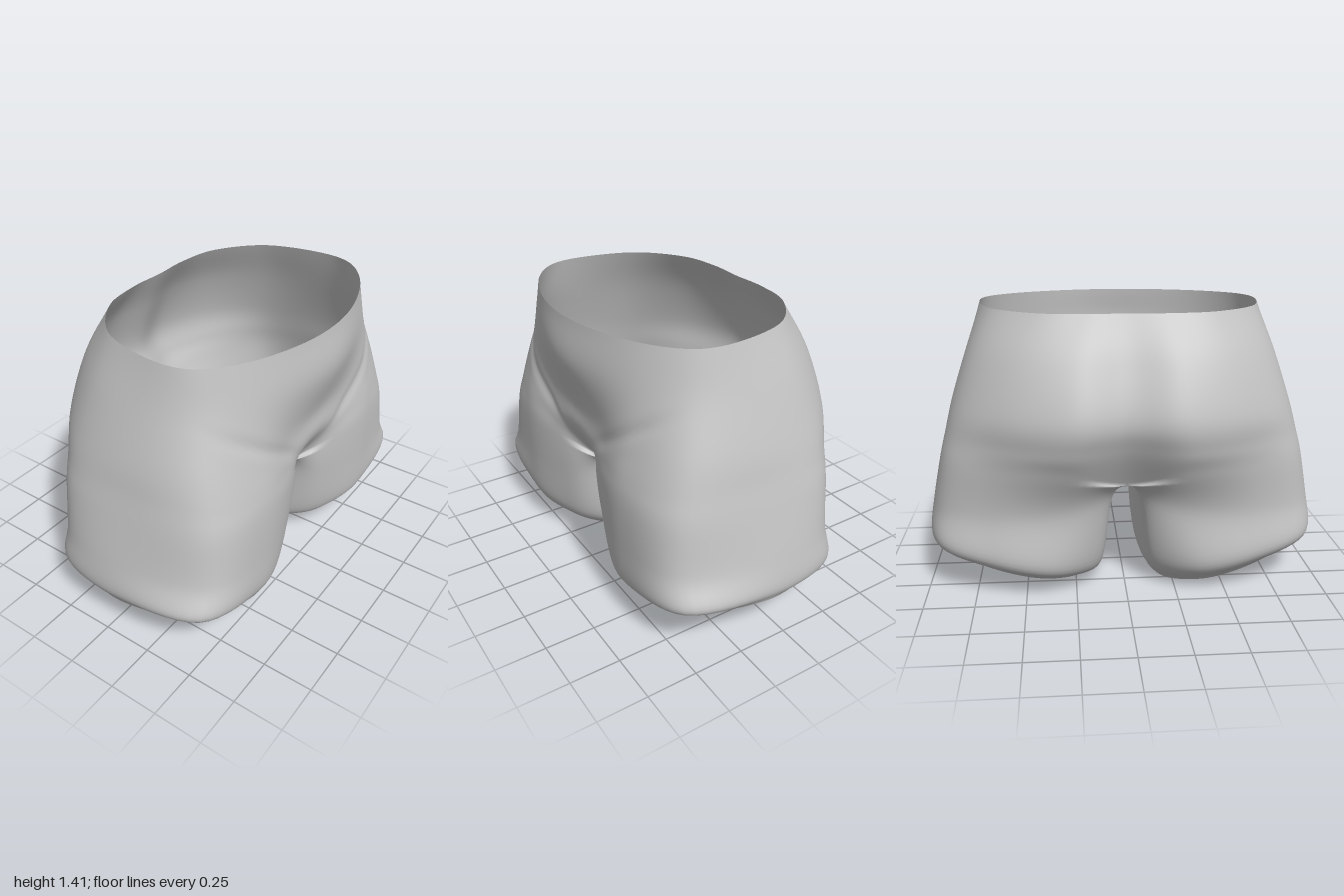
import * as THREE from 'three';
import { mergeVertices } from 'three/addons/utils/BufferGeometryUtils.js';

// Half cross-sections [x, z] from front centre, around the outer side, to back centre.
const TORSO_Y = [1.41, 1.2, 0.95, 0.79, 0.66];
const TORSO = [
  [[0, .595], [.26, .56], [.52, .455], [.685, .30], [.71, .09], [.63, -.18], [.42, -.36], [.20, -.405], [0, -.40]],
  [[0, .615], [.25, .58], [.53, .49], [.72, .34], [.78, .10], [.73, -.21], [.52, -.44], [.25, -.53], [0, -.50]],
  [[0, .545], [.24, .545], [.52, .54], [.78, .41], [.86, .10], [.81, -.26], [.58, -.50], [.26, -.62], [0, -.575]],
  [[0, .535], [.23, .55], [.51, .575], [.81, .45], [.895, .09], [.855, -.27], [.61, -.48], [.28, -.595], [0, -.535]],
  [[0, .41], [.19, .54], [.50, .59], [.83, .48], [.925, .08], [.885, -.28], [.63, -.455], [.28, -.535], [0, -.42]],
];
const CROTCH = TORSO.length - 1;
const CROTCH_CENTRE_Y = .58;
// Strip under the crotch [y, z], from back to front.
const BRIDGE = [[.56, -.25], [.55, 0], [.56, .25]];
// Closed leg sections: the same nine columns, then three along the inner thigh.
const LEG = [
  [[.07, .42], [.19, .53], [.50, .59], [.86, .50], [.975, .06], [.92, -.28], [.65, -.42], [.31, -.445], [.09, -.38],
    [.065, -.23], [.06, 0], [.06, .24]],
  [[.10, .37], [.22, .50], [.50, .585], [.92, .51], [1.0, .05], [.93, -.31], [.64, -.445], [.36, -.455], [.15, -.33],
    [.10, -.18], [.08, .02], [.08, .23]],
  [[.17, .31], [.29, .45], [.53, .55], [.86, .44], [.975, .09], [.88, -.20], [.66, -.33], [.42, -.36], [.23, -.27],
    [.15, -.12], [.13, .04], [.13, .18]],
];
const LEG_Y = [
  (x) => Math.max(.43, .51 - .2 * x),
  (x, z) => .13 + .15 * x + .05 * z,
  (x, z) => .03 + .18 * x + .09 * z,
];
const STEPS = 8;

const mirror = (p) => new THREE.Vector3(-p.x, p.y, p.z);

function spline(a, b, c, d, t) {
  const f = (k) => .5 * (2 * b[k] + (c[k] - a[k]) * t + (2 * a[k] - 5 * b[k] + 4 * c[k] - d[k]) * t * t
    + (3 * b[k] - a[k] - 3 * c[k] + d[k]) * t * t * t);
  return new THREE.Vector3(f('x'), f('y'), f('z'));
}

// Point in a column of control points, by row.
function columnPoint(col, row) {
  const i = Math.min(Math.floor(row), col.length - 2);
  const before = col[i - 1] ?? col[i].clone().multiplyScalar(2).sub(col[i + 1]);
  const after = col[i + 2] ?? col[i + 1].clone().multiplyScalar(2).sub(col[i]);
  return spline(before, col[i], col[i + 1], after, row - i);
}

// Smooth a row; rows that touch the centre plane use mirrored neighbours there.
function smoothRow(pts, openRow) {
  const n = pts.length, out = [];
  const touching = pts[0].x === 0;
  for (let i = 0; i < (openRow ? 8 : n); i++) {
    const before = touching && i === 0 ? mirror(pts[1]) : pts[(i + n - 1) % n];
    const after = touching && i === 7 ? mirror(pts[7]) : pts[(i + 2) % n];
    for (let s = 0; s < STEPS; s++) {
      const p = spline(before, pts[i], pts[(i + 1) % n], after, s / STEPS);
      if (touching && i >= 8) p.x = 0;
      out.push(p);
    }
  }
  if (openRow) out.push(pts[8].clone());
  return out;
}

// Rows of one side; drop lowers the inner hem.
function sideRows(drop) {
  const torsoColumns = [], legColumns = [];
  for (let c = 0; c < 12; c++) {
    const legPart = LEG.map((ring, r) => {
      const [x, z] = ring[c];
      const lower = r === 2 ? drop * (1 - x) : 0;
      return new THREE.Vector3(x, LEG_Y[r](x, z) - lower, z);
    });
    const onCentre = c === 0 || c >= 8;
    let crotch;
    if (c < 9) {
      const body = TORSO.map((ring, r) => new THREE.Vector3(ring[c][0], TORSO_Y[r], ring[c][1]));
      crotch = body[CROTCH];
      if (onCentre) crotch.y = CROTCH_CENTRE_Y;
      torsoColumns.push([...body, legPart[0]]);
    } else {
      const [y, z] = BRIDGE[c - 9];
      crotch = new THREE.Vector3(0, y, z);
    }
    const above = onCentre ? mirror(legPart[0]) : torsoColumns[c][CROTCH - 1];
    legColumns.push([above, crotch, ...legPart]);
  }
  const torso = [], leg = [];
  for (let k = 0; k <= CROTCH * STEPS; k++) {
    const pts = torsoColumns.map((col) => columnPoint(col, k / STEPS));
    pts[0].x = pts[8].x = 0;
    torso.push(smoothRow(pts, true));
  }
  for (let k = 0; k <= LEG.length * STEPS; k++) {
    leg.push(smoothRow(legColumns.map((col) => columnPoint(col, 1 + k / STEPS)), false));
  }
  return { torso, leg };
}

// Shallow fold where thigh meets belly.
function fold(p) {
  if (p.z < .2 || p.y < .66) return;
  const x = Math.abs(p.x);
  const d = (p.y - .67 - .65 * x) / 1.2;
  const fade = THREE.MathUtils.smoothstep(x, .08, .3) * (1 - THREE.MathUtils.smoothstep(x, .55, .75));
  p.z -= .01 * fade * Math.exp(-((d / .03) ** 2));
}

function addPatch(rows, closed, side, positions, indices) {
  const base = positions.length / 3, n = rows[0].length;
  rows.forEach((row) => row.forEach((p) => {
    fold(p);
    positions.push(side * p.x, p.y, p.z);
  }));
  for (let r = 0; r < rows.length - 1; r++) {
    for (let c = 0; c < (closed ? n : n - 1); c++) {
      const a = base + r * n + c, d = base + r * n + (c + 1) % n;
      const b = a + n, e = d + n;
      if (side > 0) indices.push(a, b, d, d, b, e);
      else indices.push(a, d, b, d, e, b);
    }
  }
}

export function createModel() {
  const fabric = new THREE.MeshStandardMaterial({ color: 0xc4c4c4, side: THREE.DoubleSide });
  fabric.name = 'grey fabric';

  // Both halves are welded so the shading runs across the centre seam.
  const positions = [], indices = [];
  for (const side of [1, -1]) {
    const { torso, leg } = sideRows(side > 0 ? 0 : .05);
    addPatch(torso, false, side, positions, indices);
    addPatch(leg, true, side, positions, indices);
  }
  let geometry = new THREE.BufferGeometry();
  geometry.setAttribute('position', new THREE.Float32BufferAttribute(positions, 3));
  geometry.setIndex(indices);
  geometry = mergeVertices(geometry, 1e-4);
  geometry.computeVertexNormals();
  geometry.computeBoundingBox();
  geometry.translate(0, -geometry.boundingBox.min.y, 0);

  const shorts = new THREE.Mesh(geometry, fabric);
  shorts.name = 'shorts';
  const group = new THREE.Group();
  group.name = 'shortsModel';
  group.add(shorts);
  return group;
}
